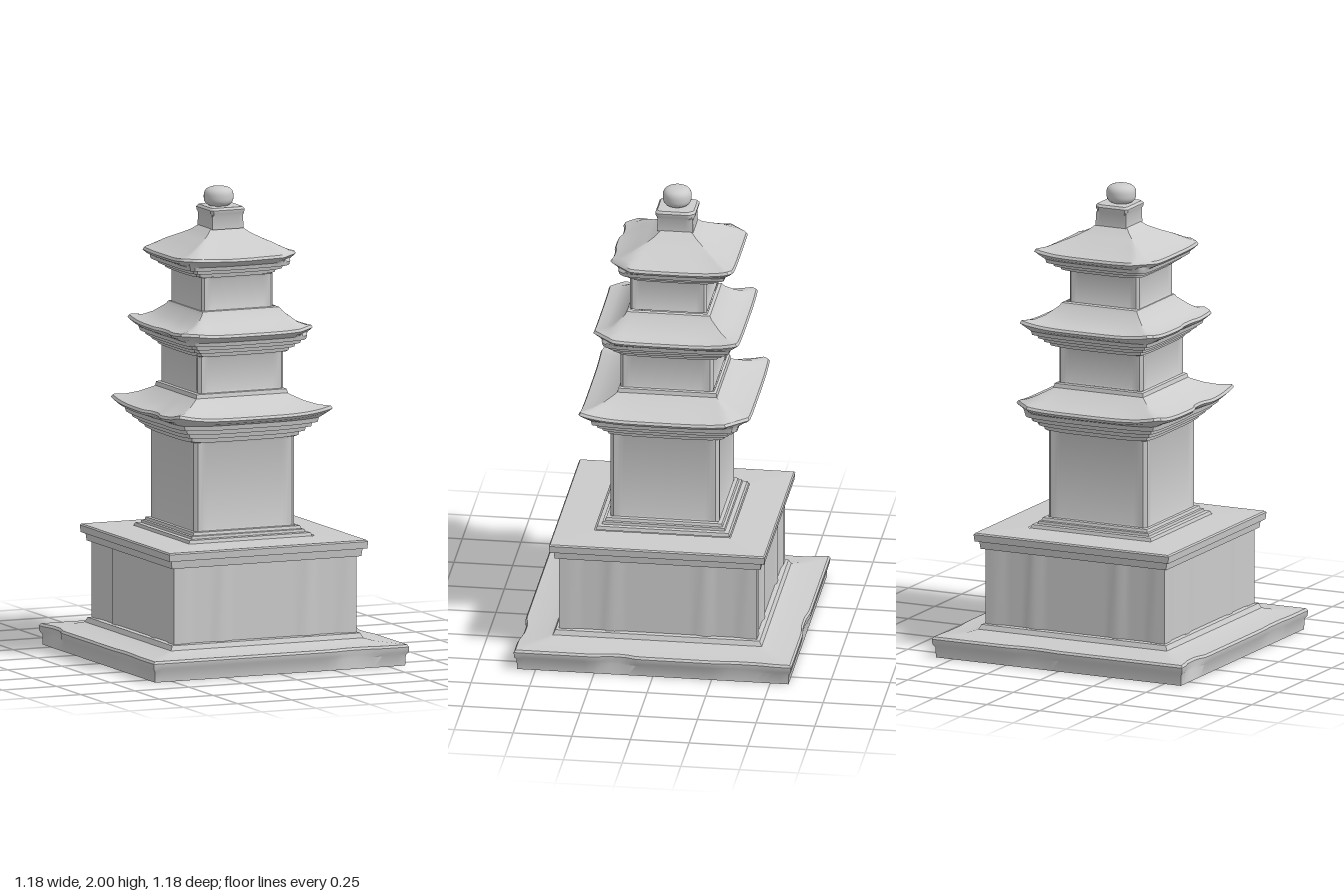
import * as THREE from 'three';
import { toCreasedNormals } from 'three/addons/utils/BufferGeometryUtils.js';

const stone = new THREE.MeshStandardMaterial({ color: 0xcccccc, side: THREE.DoubleSide });
const PER_SIDE = 32;

// Square ring as unit points, counter-clockwise seen from above
function unitRing() {
  const ring = [];
  for (let side = 0; side < 4; side++) {
    for (let i = 0; i < PER_SIDE; i++) {
      const t = -1 + (2 * i) / PER_SIDE;
      const [x, z] = [[t, 1], [1, -t], [-t, -1], [-1, t]][side];
      ring.push({ x, z, t: Math.abs(t) });
    }
  }
  return ring;
}

// Lofts square sections [y, halfWidth, wear, inset].
// wear scales corner lift, broken corners (-x-z, +x-z, -x+z, +x+z) and notches [x, z, radius, depth];
// inset sinks the wall between the pilasters (t values of [centre, half width]).
function loft(name, sections, o = {}) {
  const { cx = 0, cz = 0, dz = 0, lift = 0, cuts = [0, 0, 0, 0], notches = [], pilasters = [[1, 0.14]] } = o;
  const ring = unitRing();
  const n = ring.length;
  const pos = [];
  const index = [];
  sections.forEach(([y, h, wear = 0, inset = 0], row) => {
    ring.forEach((p, j) => {
      const onPilaster = pilasters.some(([c, w]) => Math.abs(p.t - c) < w);
      const limit = 2 - wear * cuts[(p.x > 0 ? 1 : 0) + (p.z > 0 ? 2 : 0)];
      const reach = Math.min(1 + p.t, limit);
      const hx = onPilaster ? h : h - inset;
      let s = reach / (1 + p.t);
      const x = cx + p.x * hx * s;
      const z = cz + p.z * (hx + dz) * s;
      let push = 1;
      for (const [nx, nz, r, d] of notches) {
        const q = ((x - nx) ** 2 + (z - nz) ** 2) / (r * r);
        push -= (wear * d * Math.exp(-q * q)) / h;
      }
      pos.push(cx + (x - cx) * push, y + wear * lift * (reach - 1) ** 4, cz + (z - cz) * push);
      if (row > 0) {
        const a = (row - 1) * n + j, b = (row - 1) * n + ((j + 1) % n);
        index.push(a, b, b + n, a, b + n, a + n);
      }
    });
  });
  const geo = new THREE.BufferGeometry();
  geo.setAttribute('position', new THREE.Float32BufferAttribute(pos, 3));
  geo.setIndex(index);
  const mesh = new THREE.Mesh(toCreasedNormals(geo, 0.6), stone);
  mesh.name = name;
  return mesh;
}

// Roof: corbel steps from body width up to the soffit, eave edge, then a concave slope
function roof(name, y0, y1, bodyHalf, soffitHalf, steps, eaveHalf, slope, options) {
  const sections = [];
  for (let i = 0; i < steps; i++) {
    const h = bodyHalf + ((soffitHalf - bodyHalf) * (i + 1)) / steps;
    const ya = y0 + ((y1 - y0) * i) / steps, yb = y0 + ((y1 - y0) * (i + 1)) / steps;
    if (i === 0) sections.push([ya, bodyHalf]);
    sections.push([ya, h - 0.004, 0.3], [yb, h, 0.3]);
  }
  sections.push([y1 + 0.012, eaveHalf - 0.012, 1], [y1 + 0.025, eaveHalf, 1], [y1 + 0.036, eaveHalf - 0.006, 1]);
  return loft(name, sections.concat(slope), options);
}

export function createModel() {
  const group = new THREE.Group();

  // Ground slab with weathered rim, open below
  group.add(loft('baseSlab', [
    [0, 0.578], [0.045, 0.58, 0.5], [0.058, 0.589, 1], [0.08, 0.591, 1], [0.09, 0.584, 1],
    [0.098, 0.48], [0.108, 0.445], [0.128, 0.435], [0.13, 0.42],
  ], {
    notches: [[-0.59, -0.47, 0.08, 0.02], [0.59, 0.16, 0.07, 0.016], [0.36, 0.59, 0.09, 0.014],
      [0.12, -0.59, 0.09, 0.01], [-0.59, 0.3, 0.1, 0.006], [0.59, -0.4, 0.1, 0.008]],
  }));

  // Podium with pilasters and a two-step cornice
  group.add(loft('podium', [
    [0.13, 0.422], [0.131, 0.422, 0, 0.006], [0.455, 0.422, 0, 0.006], [0.456, 0.438], [0.488, 0.442],
    [0.49, 0.457], [0.52, 0.46], [0.526, 0.455], [0.532, 0.29],
  ], { pilasters: [[1, 0.14], [0.46, 0.08]] }));

  // Stepped plinth
  group.add(loft('plinth', [
    [0.53, 0.285], [0.545, 0.28], [0.547, 0.262], [0.558, 0.26], [0.56, 0.25], [0.572, 0.246], [0.574, 0.23],
  ], { cx: -0.005 }));

  // Three storey bodies
  for (const [name, y0, y1, h, cx, cz] of [
    ['lowerBody', 0.572, 0.952, 0.232, -0.007, 0],
    ['middleBody', 1.155, 1.312, 0.198, -0.007, -0.003],
    ['upperBody', 1.5, 1.642, 0.164, -0.007, -0.005],
  ]) {
    group.add(loft(name, [[y0, h, 1], [y0 + 0.01, h, 1, 0.004], [y1 - 0.01, h, 1, 0.004], [y1, h, 1]],
      { cx, cz, cuts: [0.06, 0.06, 0.06, 0.06] }));
  }

  // Three roofs with upturned, partly broken corners
  group.add(roof('lowerRoof', 0.95, 1.03, 0.23, 0.312, 4, 0.36, [
    [1.078, 0.31, 0.6], [1.1, 0.265, 0.25], [1.13, 0.218], [1.135, 0.212], [1.152, 0.208], [1.156, 0.198],
  ], {
    cx: -0.008, cz: -0.008, lift: 0.028, cuts: [0.06, 0.26, 0.03, 0.03],
    notches: [[-0.37, 0.06, 0.07, 0.022]],
  }));
  group.add(roof('middleRoof', 1.31, 1.378, 0.198, 0.275, 4, 0.314, [
    [1.422, 0.265, 0.6], [1.445, 0.228, 0.25], [1.485, 0.185], [1.498, 0.177], [1.502, 0.164],
  ], {
    cx: 0.004, cz: -0.01, lift: 0.022, cuts: [0.06, 0.03, 0.18, 0.3],
    notches: [[-0.31, 0.05, 0.07, 0.012]],
  }));
  group.add(roof('upperRoof', 1.64, 1.69, 0.164, 0.235, 3, 0.275, [
    [1.737, 0.232, 0.6], [1.765, 0.178, 0.25], [1.79, 0.13], [1.81, 0.095], [1.825, 0.078], [1.83, 0.07],
  ], {
    cx: -0.006, cz: -0.027, dz: -0.007, lift: 0.02, cuts: [0.3, 0.08, 0.22, 0.36],
    notches: [[-0.15, 0.235, 0.06, 0.014], [0.1, 0.235, 0.06, 0.008]],
  }));

  // Finial block and ball
  group.add(loft('finialBlock', [
    [1.826, 0.072], [1.88, 0.07], [1.895, 0.078, 1], [1.908, 0.08, 1], [1.918, 0.072, 1], [1.92, 0.002],
  ], { cx: -0.006, cz: -0.022, dz: 0.005, cuts: [0.12, 0.3, 0.12, 0.15] }));
  const ball = new THREE.Mesh(new THREE.SphereGeometry(1, 32, 20), stone);
  // Flatten the sphere into a squarish bead
  const p = ball.geometry.attributes.position;
  for (let i = 0; i < p.count; i++) {
    const y = p.getY(i), r = Math.hypot(p.getX(i), p.getZ(i)) || 1;
    const k = Math.pow(1 - Math.min(1, Math.abs(y)) ** 2.8, 1 / 2.8) / Math.max(r, 1e-6);
    p.setXYZ(i, p.getX(i) * k * 0.063, y * 0.043, p.getZ(i) * k * 0.061);
  }
  ball.geometry.computeVertexNormals();
  ball.position.set(-0.016, 1.957, -0.02);
  ball.name = 'finialBall';
  group.add(ball);

  return group;
}
